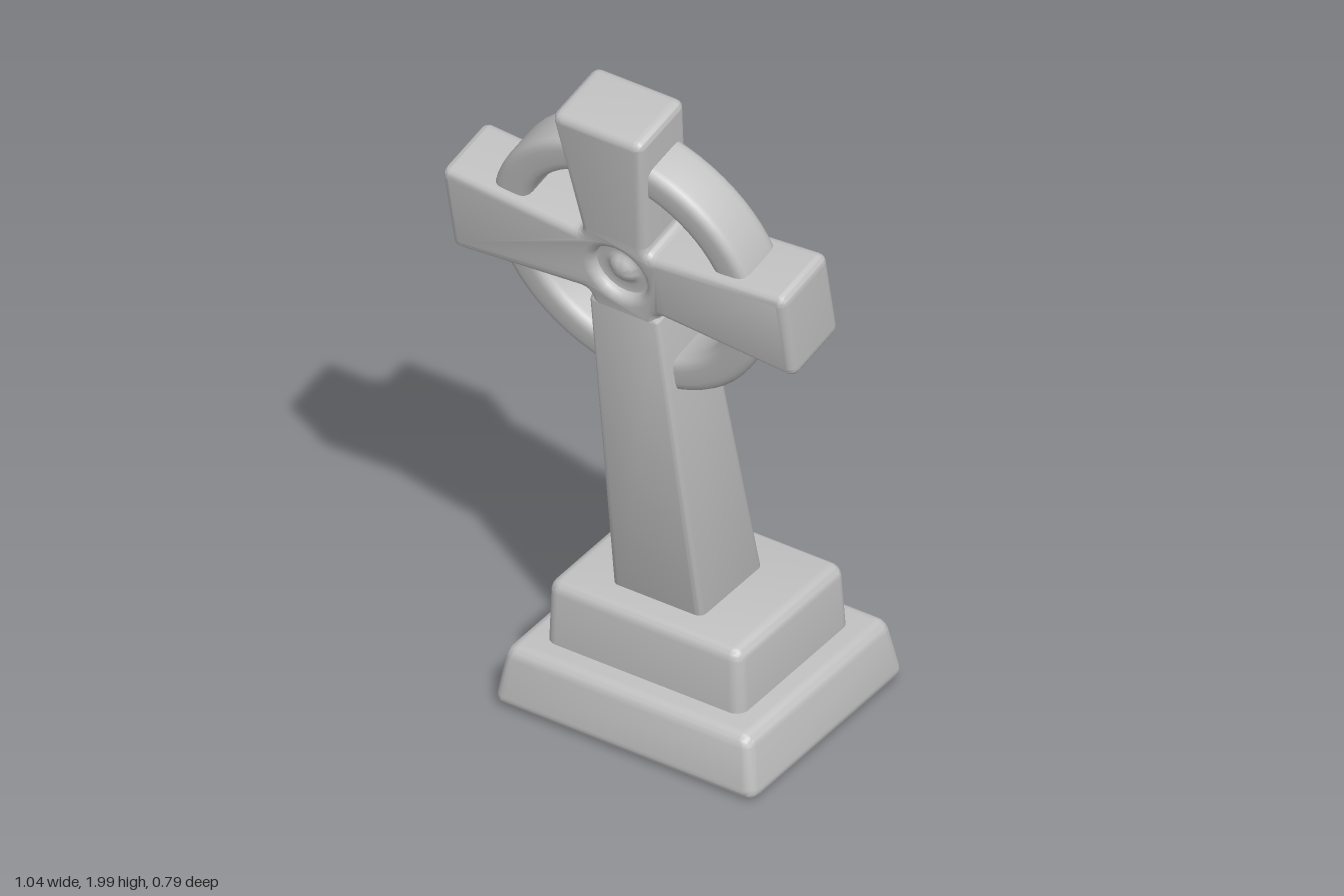
import * as THREE from 'three';
import { toCreasedNormals } from 'three/addons/utils/BufferGeometryUtils.js';
import { RoundedBoxGeometry } from 'three/addons/geometries/RoundedBoxGeometry.js';

const stone = new THREE.MeshStandardMaterial({ color: 0xc0c0c0 });
stone.name = 'stone';

function addPart(parent, name, geometry) {
  const mesh = new THREE.Mesh(toCreasedNormals(geometry, 0.7), stone);
  mesh.name = name;
  parent.add(mesh);
  return mesh;
}

// Rounded block whose top is scaled by sx, sz and shifted by dx
function taperedBlock(w, h, d, radius, sx, sz, dx = 0) {
  const geo = new RoundedBoxGeometry(w, h, d, 4, radius);
  const p = geo.attributes.position;
  for (let i = 0; i < p.count; i++) {
    const t = p.getY(i) / h + 0.5;
    p.setX(i, p.getX(i) * (1 + (sx - 1) * t) + dx * t);
    p.setZ(i, p.getZ(i) * (1 + (sz - 1) * t));
  }
  return geo;
}

// Closed shape with softened corners
function roundedShape(points, r) {
  const shape = new THREE.Shape();
  const v = points.map(([x, y]) => new THREE.Vector2(x, y));
  v.forEach((c, i) => {
    const toward = (q) => c.clone().add(q.clone().sub(c).setLength(r));
    const a = toward(v[(i + v.length - 1) % v.length]);
    const b = toward(v[(i + 1) % v.length]);
    if (i === 0) shape.moveTo(a.x, a.y);
    else shape.lineTo(a.x, a.y);
    shape.quadraticCurveTo(c.x, c.y, b.x, b.y);
  });
  shape.closePath();
  return shape;
}

export function createModel() {
  const model = new THREE.Group();
  model.name = 'stoneCross';

  // Stepped base, slightly sunk at the front
  const base = new THREE.Group();
  base.name = 'base';
  base.position.set(0, 0.013, -0.058);
  base.rotation.x = 0.03;
  model.add(base);
  addPart(base, 'lowerStep', taperedBlock(0.8, 0.18, 0.68, 0.035, 0.92, 0.92)).position.y = 0.09;
  addPart(base, 'upperStep', taperedBlock(0.6, 0.24, 0.49, 0.035, 0.97, 0.96)).position.y = 0.245;

  // Everything above the base leans forward
  const cross = new THREE.Group();
  cross.name = 'leaningCross';
  cross.position.set(0, 1.49, 0.2);
  cross.rotation.x = 0.2;
  model.add(cross);

  // Shaft, narrowing upward
  addPart(cross, 'shaft', taperedBlock(0.28, 1.09, 0.272, 0.022, 0.75, 0.76, 0.014))
    .position.set(-0.014, -0.66, 0);

  // Head with flared arms and a round opening for the dish
  const head = roundedShape([
    [0.095, 0.1], [0.138, 0.5], [-0.138, 0.5], [-0.095, 0.1],
    [-0.52, 0.137], [-0.52, -0.137], [-0.1, -0.1], [-0.1, -0.25],
    [0.1, -0.25], [0.1, -0.1], [0.52, -0.137], [0.52, 0.137],
  ], 0.03);
  head.holes.push(new THREE.Path().absarc(0, 0, 0.08, 0, Math.PI * 2, true));
  const b = 0.025, depth = 0.206;
  const headGeo = new THREE.ExtrudeGeometry(head, {
    depth: depth - 2 * b, bevelThickness: b, bevelSize: b, bevelOffset: -b,
    bevelSegments: 4, curveSegments: 10,
  });
  headGeo.translate(0, 0, b - depth / 2);
  addPart(cross, 'crossHead', headGeo);

  // Shallow dish with a small knob, front and back
  const dish = [[0.092, 0.076], [0.075, 0.073], [0.055, 0.071], [0.042, 0.074],
    [0.034, 0.084], [0.02, 0.092], [0, 0.095]].map(([r, y]) => new THREE.Vector2(r, y));
  for (const side of [1, -1]) {
    const mesh = addPart(cross, side > 0 ? 'frontDish' : 'backDish', new THREE.LatheGeometry(dish, 32));
    mesh.rotation.x = side * Math.PI / 2;
  }

  // Ring joining the arms, with a rounded rectangular section
  const section = roundedShape([[0.302, -0.075], [0.402, -0.075], [0.402, 0.075], [0.302, 0.075]], 0.03);
  const profile = section.getPoints(4);
  const ring = addPart(cross, 'ring', new THREE.LatheGeometry(profile, 64));
  ring.rotation.x = Math.PI / 2;

  return model;
}
